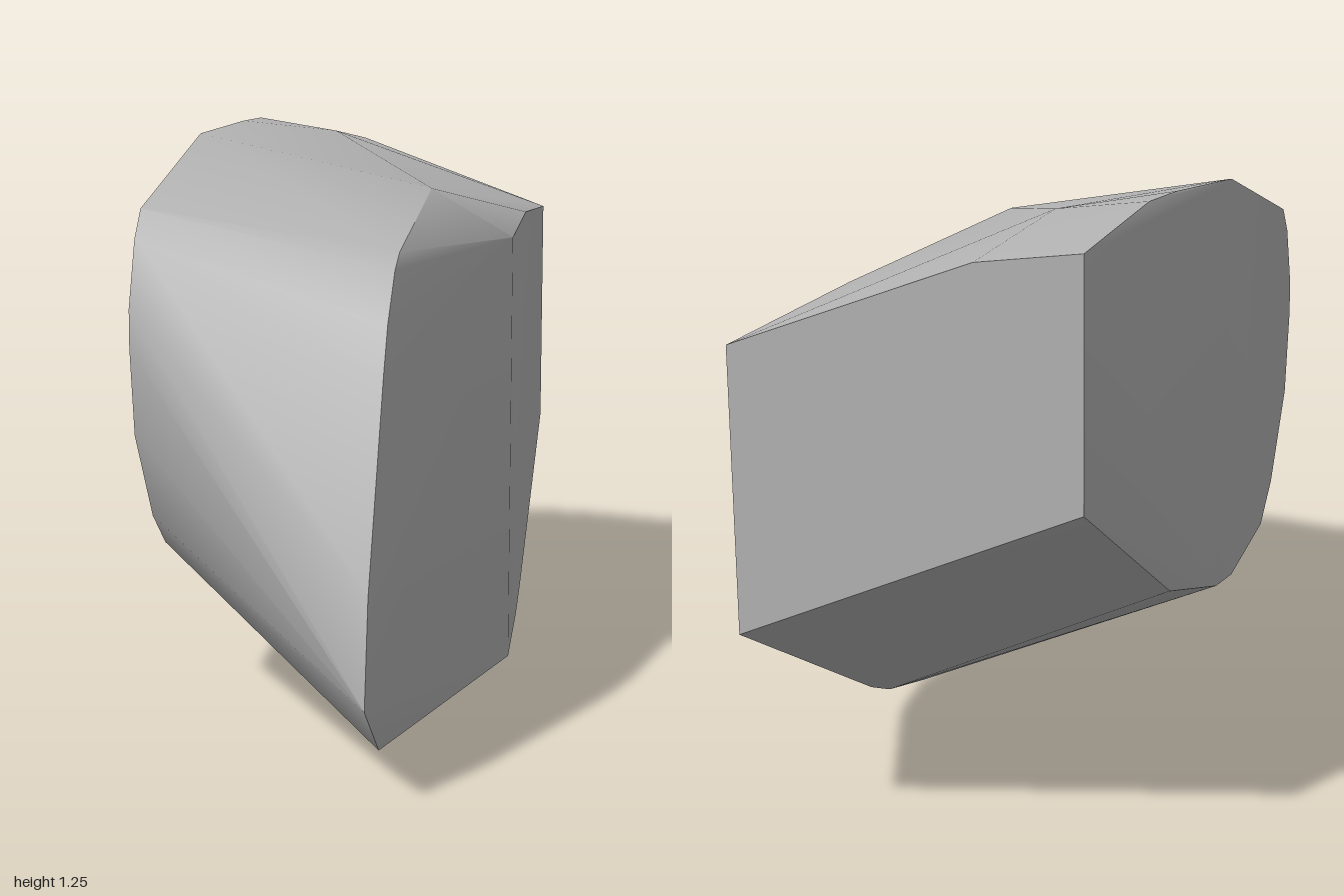
import * as THREE from 'three';
import { ConvexGeometry } from 'three/addons/geometries/ConvexGeometry.js';
import { toCreasedNormals } from 'three/addons/utils/BufferGeometryUtils.js';

// Side outlines as [z, y] pairs, each on its own x plane
const OUTLINES = [
  // nose edge
  { x: 0.2, points: [[0.1, 1.11], [0.58, 1.005], [0.64, 0.975], [0.73, 0.88], [0.78, 0.79],
    [0.96, 0.4], [1, 0.195], [0.83, 0.068], [0.53, 0.025]] },
  // rear flank
  { x: 0.36, points: [[-0.11, 0.99], [-0.45, 1.03], [-1, 1.015], [-1, 0.445],
    [-0.4, 0.1], [-0.3, 0.055], [-0.11, 0.003]] },
  // inner flank, set back from the nose
  { x: -0.36, points: [[-0.06, 1.225], [0.46, 1.08], [0.51, 1.02], [0.56, 0.88], [0.56, 0.8],
    [0.53, 0.615], [0.4, 0.42], [0.3, 0.34], [0.01, 0.308], [-0.13, 0.328]] },
  // tapered end of the inner flank
  { x: -0.34, points: [[-0.42, 1.25], [-0.44, 0.42]] },
  { x: -0.335, points: [[-0.6, 1.256], [-1, 1.225], [-1, 0.752]] },
  // crown of the top
  { x: -0.13, points: [[-0.55, 1.224], [-1, 1.198]] },
];

export function createModel() {
  const group = new THREE.Group();
  group.name = 'facetedBlock';

  const stone = new THREE.MeshStandardMaterial({ color: 0xb4b4b4 });
  stone.name = 'plain grey';

  // One convex solid spanning all outlines, soft over shallow bends
  const corners = OUTLINES.flatMap(({ x, points }) =>
    points.map(([z, y]) => new THREE.Vector3(x, y, z)));
  const geometry = toCreasedNormals(new ConvexGeometry(corners), THREE.MathUtils.degToRad(32));

  const body = new THREE.Mesh(geometry, stone);
  body.name = 'body';
  group.add(body);
  return group;
}
